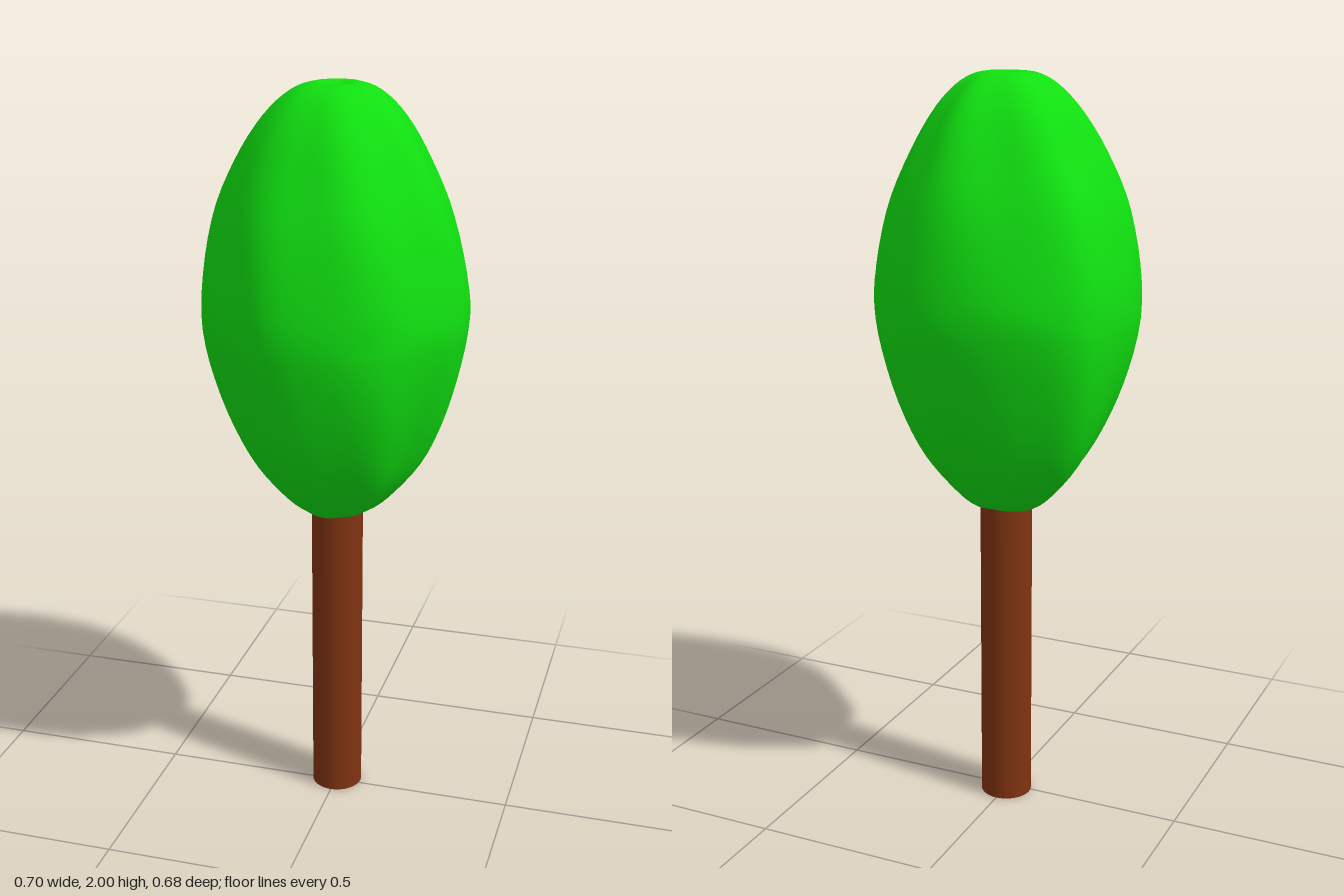
import * as THREE from 'three';
import { mergeVertices } from 'three/addons/utils/BufferGeometryUtils.js';

const leafGreen = new THREE.MeshStandardMaterial({ color: 0x10e010 });
leafGreen.name = 'leafGreen';
const barkBrown = new THREE.MeshStandardMaterial({ color: 0x803311 });
barkBrown.name = 'barkBrown';

const AXIS_Z = -0.015; // trunk axis

// Widest outline of the crown as [x, z], from -x round through +z
const outline = new THREE.CatmullRomCurve3([
  [-0.35, 0], [-0.327, 0.12], [-0.295, 0.18], [-0.194, 0.275], [-0.082, 0.335],
  [0.086, 0.327], [0.198, 0.275], [0.282, 0.178], [0.336, 0.08], [0.348, 0.02],
  [0.325, -0.136], [0.254, -0.234], [0.133, -0.323], [0, -0.34],
  [-0.176, -0.308], [-0.297, -0.234], [-0.335, -0.14],
].map(([x, z]) => new THREE.Vector3(x, 0, z - AXIS_Z)), true);

// Crown profile as [fraction of the outline, height], bottom to top
const profile = new THREE.CatmullRomCurve3([
  [0, 0.85], [0.27, 0.865], [0.45, 0.92], [0.68, 1.03], [0.88, 1.2], [0.99, 1.37],
  [0.99, 1.47], [0.89, 1.65], [0.71, 1.8], [0.52, 1.91], [0.33, 1.975],
  [0.16, 1.997], [0, 1.985],
].map(([r, y]) => new THREE.Vector3(r, y, 0)));

function crownGeometry() {
  const geo = new THREE.SphereGeometry(1, 72, 48);
  const pos = geo.attributes.position, uv = geo.attributes.uv;
  for (let i = 0; i < pos.count; i++) {
    const u = (uv.getX(i) + 1) % 1;
    const side = outline.getPoint(u);
    const { x: r, y } = profile.getPoint(uv.getY(i));
    // Soft vertical lumps that fade out at the widest height
    const a = Math.atan2(side.z, side.x);
    const fade = Math.min(1, Math.abs(y - 1.42) / 0.4);
    const lump = 1 + fade * (0.035 * Math.sin(3 * a + 3 * y) + 0.025 * Math.sin(7 * a - 4 * y));
    const s = Math.max(0, r) * lump;
    pos.setXYZ(i, side.x * s, y, AXIS_Z + side.z * s);
  }
  // Weld the seam and poles for smooth shading
  geo.deleteAttribute('uv');
  geo.deleteAttribute('normal');
  const welded = mergeVertices(geo, 1e-5);
  welded.computeVertexNormals();
  return welded;
}

export function createModel() {
  const tree = new THREE.Group();
  tree.name = 'tree';

  const crown = new THREE.Mesh(crownGeometry(), leafGreen);
  crown.name = 'crown';

  const trunk = new THREE.Mesh(new THREE.CylinderGeometry(0.07, 0.07, 0.9, 32), barkBrown);
  trunk.name = 'trunk';
  trunk.position.set(0, 0.45, AXIS_Z);

  tree.add(crown, trunk);
  return tree;
}
